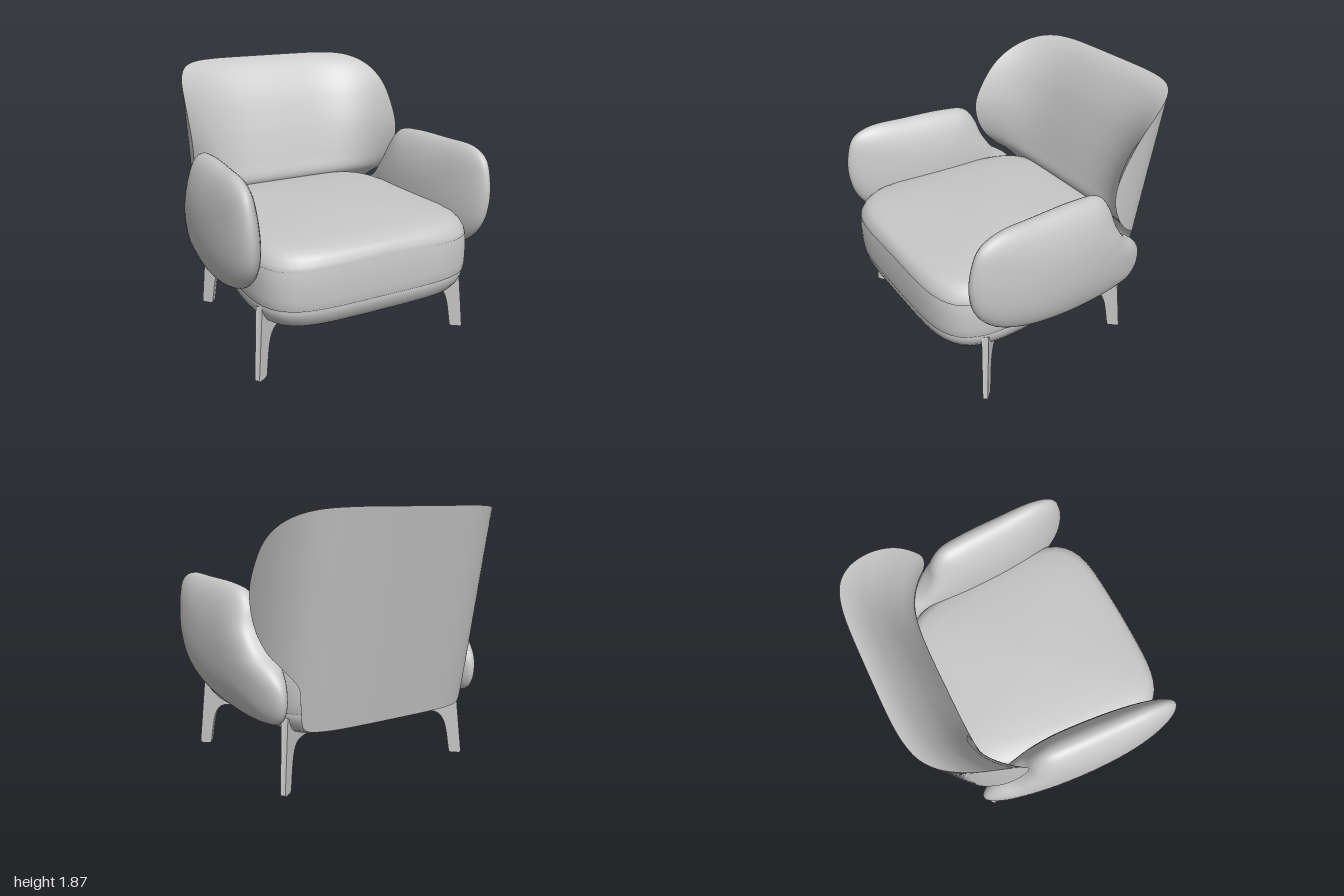
import * as THREE from 'three';

const upholstery = new THREE.MeshStandardMaterial({ color: 0xc8c8c8 });
upholstery.name = 'light grey';

// Skin a list of closed rings of equal length; optional caps; faces turned outward.
function loft(rings, caps) {
  const n = rings[0].length, m = rings.length;
  const pos = rings.flat().flatMap(p => [p.x, p.y, p.z]);
  const idx = [];
  for (let i = 0; i < m - 1; i++) for (let j = 0; j < n; j++) {
    const a = i * n + j, b = i * n + (j + 1) % n;
    idx.push(a, b, b + n, a, b + n, a + n);
  }
  if (caps) [0, m - 1].forEach((r, end) => {
    const c = new THREE.Vector3();
    rings[r].forEach(p => c.addScaledVector(p, 1 / n));
    const k = pos.length / 3;
    pos.push(c.x, c.y, c.z);
    for (let j = 0; j < n; j++) {
      const a = r * n + j, b = r * n + (j + 1) % n;
      if (end) idx.push(k, a, b); else idx.push(k, b, a);
    }
  });
  let volume = 0;
  const v = i => new THREE.Vector3().fromArray(pos, idx[i] * 3);
  for (let i = 0; i < idx.length; i += 3) volume += v(i).dot(v(i + 1).cross(v(i + 2)));
  if (volume < 0) idx.reverse();
  const g = new THREE.BufferGeometry();
  g.setAttribute('position', new THREE.Float32BufferAttribute(pos, 3));
  g.setIndex(idx);
  g.computeVertexNormals();
  return g;
}

function mesh(name, geometry) {
  const m = new THREE.Mesh(geometry, upholstery);
  m.name = name;
  return m;
}

// Seat: rounded-square plan, stacked as [inset, height], with two sewn grooves
function seat() {
  const rows = [[0.5, 0.362], [0.2, 0.362], [0.15, 0.365], [0.1, 0.38], [0.06, 0.406], [0.03, 0.45],
    [0.014, 0.49], [0.008, 0.524], [0.014, 0.53], [0.006, 0.536], [0, 0.6], [0, 0.7], [0.005, 0.785],
    [0.013, 0.792], [0.007, 0.799], [0.016, 0.83], [0.035, 0.868], [0.06, 0.897], [0.1, 0.917],
    [0.2, 0.934], [0.35, 0.946], [0.55, 0.955], [0.75, 0.96]];
  const rings = rows.map(([inset, y]) => {
    const ring = [], h = 0.8 - inset;
    for (let j = 0; j < 96; j++) {
      const a = j / 96 * Math.PI * 2, c = Math.cos(a), s = Math.sin(a);
      const r = Math.pow(Math.abs(c) ** 5 + Math.abs(s) ** 5, -0.2);
      const bow = s > 0 ? 0.012 * s * s : 0;
      const z = 0.15 + h * r * s + bow;
      const taper = 1 - 0.1 * THREE.MathUtils.smoothstep(0.5 - z, 0, 1.1);
      // the upper seam rises a little towards the middle of each side
      const lift = y > 0.75 && y < 0.87 ? 0.02 * (1 - Math.min(Math.abs(c), Math.abs(s)) * 1.41) : 0;
      ring.push(new THREE.Vector3((h + 0.015) * r * c * taper, y + lift, z));
    }
    return ring;
  });
  return mesh('seat', loft(rings, true));
}

// Armrest: side outline (z, y) swelling into a lens-shaped cushion, softening to an ellipse
function armrest(side) {
  const outline = new THREE.CatmullRomCurve3([
    [0.86, 1.0], [0.845, 1.17], [0.79, 1.3], [0.66, 1.36], [0.35, 1.362], [0, 1.35], [-0.16, 1.32],
    [-0.24, 1.22], [-0.29, 1.08], [-0.39, 0.94], [-0.53, 0.83], [-0.6, 0.73], [-0.605, 0.59],
    [-0.55, 0.505], [-0.4, 0.468], [-0.15, 0.46], [0.2, 0.5], [0.5, 0.575], [0.7, 0.68], [0.82, 0.83],
  ].map(([z, y]) => new THREE.Vector3(0, y, z)), true).getSpacedPoints(96).slice(0, 96);
  const rings = [];
  for (let i = 0; i <= 32; i++) {
    const a = 0.05 + (Math.PI - 0.1) * i / 32, k = Math.sin(a) ** 0.88, keep = k * k;
    rings.push(outline.map(p => {
      const dy = p.y - 0.91, dz = p.z - 0.12;
      const soft = k * (keep + (1 - keep) / Math.hypot(dz / 0.7, dy / 0.43));
      const y = dy * soft, z = dz * soft;
      const x = 0.832 + 0.165 * Math.cos(a) + 0.035 * y + 0.05 * z;
      return new THREE.Vector3(side * x, 0.91 + y, 0.12 + z);
    }));
  }
  return mesh(side > 0 ? 'leftArmrest' : 'rightArmrest', loft(rings, true));
}

// Backrest: leaning shell with wings; each level has a wing depth and a padding thickness
function backrest() {
  const plan = new THREE.CatmullRomCurve3([
    [0, 0], [0.3, 0.003], [0.48, 0.018], [0.62, 0.06], [0.72, 0.14], [0.8, 0.28], [0.84, 0.43], [0.858, 0.6],
  ].map(([x, z]) => new THREE.Vector3(x, 0, z)));
  plan.arcLengthDivisions = 400;
  const reach = depth => {
    let lo = 0, hi = 1;
    for (let i = 0; i < 24; i++) {
      const t = (lo + hi) / 2;
      if (plan.getPointAt(t).z < depth) lo = t; else hi = t;
    }
    return lo;
  };
  // height, wing depth, padding
  const levels = new THREE.CatmullRomCurve3([
    [0.44, 0.04, 0], [0.445, 0.06, 0.04], [0.47, 0.08, 0.068], [0.6, 0.095, 0.09], [0.74, 0.11, 0.11],
    [0.8, 0.145, 0.14], [0.87, 0.22, 0.2], [0.95, 0.335, 0.258], [1.07, 0.457, 0.256],
    [1.22, 0.543, 0.245], [1.36, 0.565, 0.23], [1.55, 0.5, 0.198], [1.66, 0.425, 0.165],
    [1.74, 0.33, 0.13], [1.8, 0.225, 0.094], [1.84, 0.12, 0.055], [1.858, 0.05, 0.024], [1.865, 0.01, 0],
  ].map(p => new THREE.Vector3(...p)), false, 'centripetal').getPoints(85);
  const N = 40;
  const rings = levels.map(({ x: y, y: depth, z: pad }) => {
    const end = reach(Math.max(depth, 0.004)), tip = plan.getPointAt(end);
    const zBack = -0.69 - (y - 0.45) * 0.188;
    const ring = [];
    // outer shell, then the padded face sweeping back from wing to wing
    for (let k = -N; k <= N; k++) {
      const u = Math.sin(k / N * Math.PI / 2), p = plan.getPointAt(Math.abs(u) * end);
      ring.push(new THREE.Vector3(Math.sign(u) * p.x, y, zBack + p.z));
    }
    for (let k = N - 1; k > -N; k--) {
      const u = Math.sin(k / N * Math.PI / 2);
      const z = pad + (tip.z - pad) * Math.abs(u) ** 4;
      ring.push(new THREE.Vector3(u * tip.x, y, zBack + z));
    }
    return ring;
  });
  return mesh('backrest', loft(rings, false));
}

// Leg: two thin curved brackets that share a foot and fork under the seat
function leg(name, x, z, dx, dz) {
  const s = new THREE.Shape();
  s.moveTo(0.012, 0);
  s.lineTo(0.07, 0);
  s.quadraticCurveTo(0.088, 0, 0.092, 0.02);
  s.bezierCurveTo(0.12, 0.2, 0.12, 0.33, 0.25, 0.33);
  s.lineTo(0.35, 0.33);
  s.quadraticCurveTo(0.385, 0.335, 0.385, 0.372);
  s.lineTo(0.25, 0.38);
  s.quadraticCurveTo(0.1, 0.39, 0.075, 0.51);
  s.lineTo(0.055, 0.52);
  s.lineTo(0, 0.01);
  const g = new THREE.ExtrudeGeometry(s, { depth: 0.034, bevelEnabled: false, curveSegments: 10 });
  g.translate(0, 0, -0.017);
  const group = new THREE.Group();
  group.name = name;
  for (const spread of [-0.11, 0.11]) {
    const blade = mesh('legBracket', g);
    blade.rotation.y = spread;
    group.add(blade);
  }
  group.position.set(x, 0, z);
  group.rotation.y = Math.atan2(-dz, dx);
  return group;
}

export function createModel() {
  const model = new THREE.Group();
  model.name = 'armchair';
  model.add(seat(), backrest());
  for (const side of [1, -1]) {
    const word = side > 0 ? 'left' : 'right';
    model.add(armrest(side));
    model.add(leg(word + 'FrontLeg', side * 0.825, 0.735, -side * 0.34, -0.28));
    model.add(leg(word + 'BackLeg', side * 0.765, -0.535, -side * 0.3, 0.27));
  }
  return model;
}
